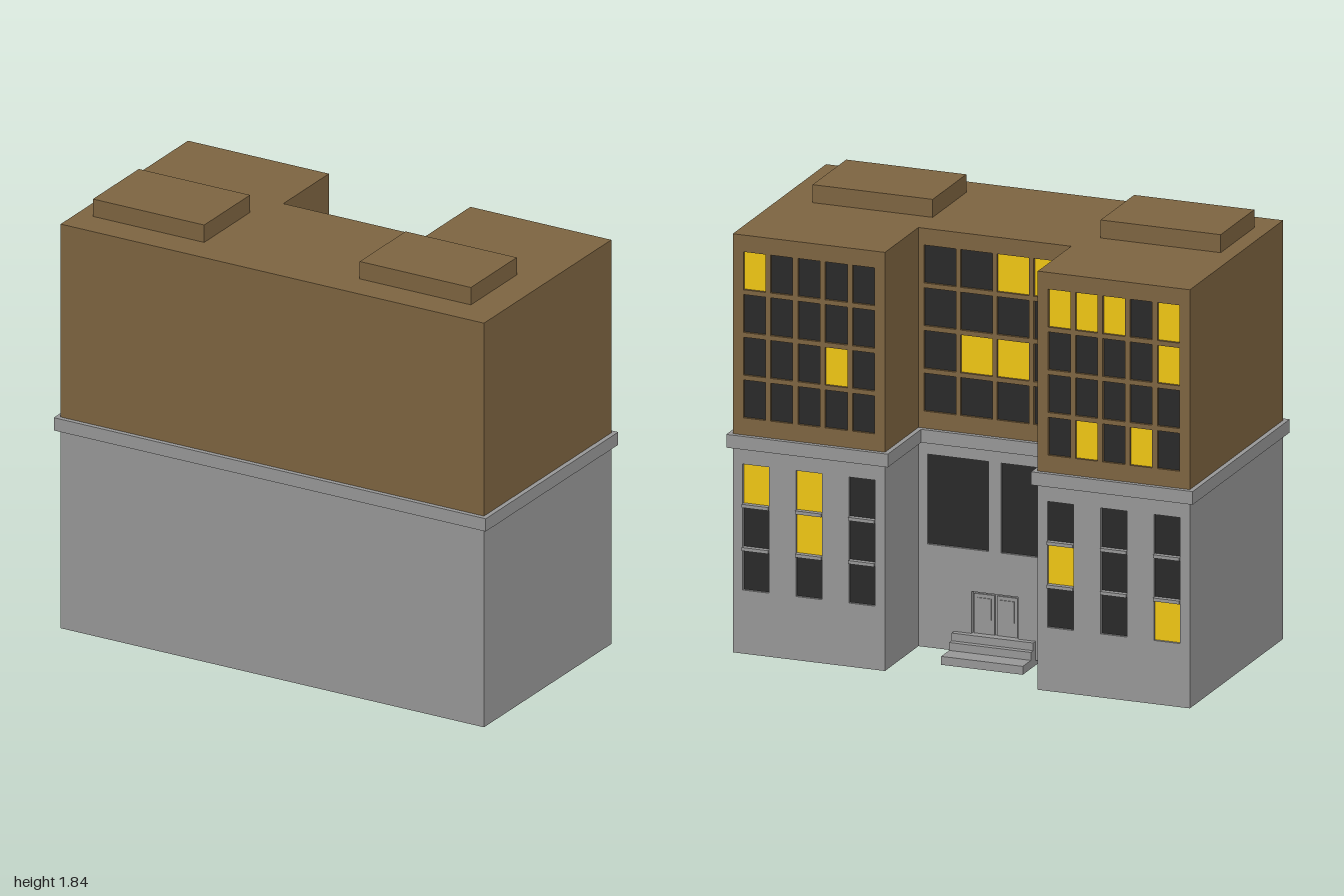
import * as THREE from 'three';

const mat = (color) => new THREE.MeshStandardMaterial({ color, flatShading: true });
const W = 0.98, D = 0.493, NX = 0.3275, NZ = -0.14; // half width, half depth, courtyard half width and wall
const R = 0.02; // window recess depth

// U-shaped plan, grown by o; back-facing walls pulled in by cut
function plan(o = 0, cut = 0) {
  const back = D + o - cut, yard = -NZ + o - cut, x = W + o, n = NX - o;
  return [[-x, -D - o], [x, -D - o], [x, back], [n, back], [n, yard], [-n, yard], [-n, back], [-x, back]]
    .map(([a, b]) => new THREE.Vector2(a, b));
}

export function createModel() {
  const group = new THREE.Group();
  const stone = mat(0x999999), brick = mat(0x7e6541), dark = mat(0x2a2a2a), lit = mat(0xf2c814);

  const add = (name, geo, material, parent = group) => {
    const mesh = new THREE.Mesh(geo, material);
    mesh.name = name;
    parent.add(mesh);
    return mesh;
  };
  const box = (name, x0, x1, y0, y1, z0, z1, material, parent) =>
    add(name, new THREE.BoxGeometry(x1 - x0, y1 - y0, z1 - z0), material, parent)
      .position.set((x0 + x1) / 2, (y0 + y1) / 2, (z0 + z1) / 2);
  const slab = (name, points, y0, y1, material, hole) => {
    const shape = new THREE.Shape(points);
    if (hole) shape.holes.push(new THREE.Path(hole));
    const geo = new THREE.ExtrudeGeometry(shape, { depth: y1 - y0, bevelEnabled: false });
    add(name, geo.rotateX(-Math.PI / 2), material).position.y = y0;
  };
  const rect = (Type, x0, x1, y0, y1) => new Type([[x0, y0], [x1, y0], [x1, y1], [x0, y1]]
    .map(([x, y]) => new THREE.Vector2(x, y)));

  // Wall panel pierced by openings {x0, x1, y0, y1, lit, door}, with a pane behind each
  function facade(name, x0, x1, y0, y1, z, openings, material) {
    const part = new THREE.Group();
    part.name = name;
    group.add(part);
    const shape = rect(THREE.Shape, x0, x1, y0, y1);
    for (const o of openings) {
      shape.holes.push(rect(THREE.Path, o.x0, o.x1, o.y0, o.y1));
      if (!o.door) box('windowPane', o.x0, o.x1, o.y0, o.y1, z + R - 0.008, z + R, o.lit ? lit : dark, part);
      if (o.sill) box('windowSill', o.x0, o.x1, o.y0 - 0.014, o.y0, z - 0.01, z + R, stone, part);
    }
    add('wall', new THREE.ExtrudeGeometry(shape, { depth: R, bevelEnabled: false }), material, part).position.z = z;
  }

  // Window grid; columns run from +x to -x, rows from the top; litCells holds 'row,column'
  function grid(cx, cols, rows, w, h, pitchX, pitchY, top, litCells, sills = 0) {
    const list = [];
    for (let r = 0; r < rows; r++) for (let c = 0; c < cols; c++) {
      const x = cx + ((cols - 1) / 2 - c) * pitchX, y1 = top - r * pitchY;
      list.push({ x0: x - w / 2, x1: x + w / 2, y0: y1 - h, y1, lit: litCells.includes(`${r},${c}`), sill: r < sills });
    }
    return list;
  }

  // Main masses
  slab('baseRim', plan(), 0.02, 0.065, stone, plan(-0.02));
  slab('floor', plan(-0.02), 0.06, 0.066, brick);
  slab('lowerBody', plan(0, R), 0.065, 0.9, stone);
  slab('upperBody', plan(0, R), 0.9, 1.745, brick);
  slab('roof', plan(), 1.745, 1.765, brick);
  slab('corniceBand', plan(0.02), 0.877, 0.932, stone);

  // Roof housings
  for (const x of [-0.91, 0.325]) box('roofHousing', x, x + 0.515, 1.76, 1.84, 0.005, 0.36, brick);

  // Wing facades
  const wings = [
    { s: 1, upper: ['0,0', '2,3'], lower: ['0,0', '0,1', '1,1'] },
    { s: -1, upper: ['0,0', '0,1', '0,2', '0,4', '1,4', '3,1', '3,3'], lower: ['1,0', '2,2'] },
  ];
  for (const { s, upper, lower } of wings) {
    const cx = s * (W + NX) / 2, x0 = cx - (W - NX) / 2, x1 = cx + (W - NX) / 2;
    facade('upperWingFacade', x0, x1, 0.9, 1.745, -D,
      grid(cx, 5, 4, 0.095, 0.158, 0.117, 0.178, 1.695, upper), brick);
    facade('lowerWingFacade', x0, x1, 0.065, 0.9, -D,
      grid(cx, 3, 3, 0.112, 0.165, 0.228, 0.18, 0.81, lower, 2), stone);
  }

  // Courtyard facades
  facade('upperCourtFacade', -NX, NX, 0.9, 1.745, NZ,
    grid(0, 4, 4, 0.137, 0.158, 0.157, 0.178, 1.695, ['0,2', '0,3', '2,1', '2,2']), brick);
  facade('lowerCourtFacade', -NX, NX, 0.065, 0.9, NZ, [
    ...grid(0, 2, 1, 0.262, 0.375, 0.315, 0, 0.825, []),
    { x0: -0.1, x1: 0.1, y0: 0.1, y1: 0.275, door: true },
  ], stone);

  // Double door
  for (const s of [-1, 1]) {
    box('doorLeaf', s * 0.049 - 0.044, s * 0.049 + 0.044, 0.1, 0.265, NZ + 0.012, NZ + R, stone);
    box('doorPanel', s * 0.049 - 0.03, s * 0.049 + 0.03, 0.16, 0.25, NZ + 0.008, NZ + R, stone);
  }

  // Entrance steps
  [[-0.275, 0, 0.035], [-0.19, 0.035, 0.068], [-0.165, 0.068, 0.1]].forEach(([z, y0, y1]) =>
    box('entranceStep', -0.175, 0.175, y0, y1, z, y0 ? NZ + 0.01 : -0.03, stone));

  return group;
}
